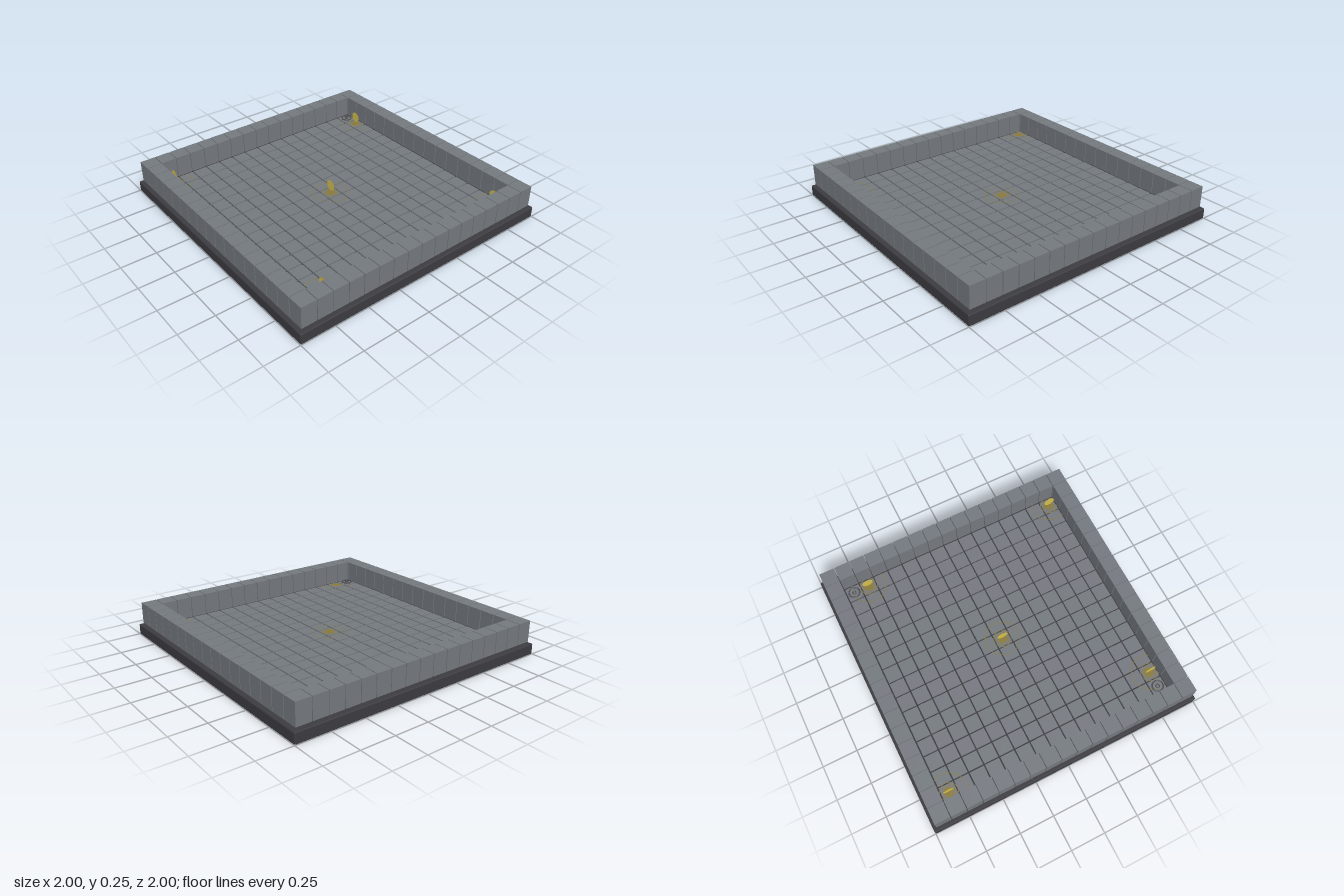
import * as THREE from 'three';
import { RoundedBoxGeometry } from 'three/addons/geometries/RoundedBoxGeometry.js';

const PITCH = 0.115, HALF = 8, FLOOR = 0.09;

const mat = (name, color) => {
  const m = new THREE.MeshStandardMaterial({ color });
  m.name = name;
  return m;
};

export function createModel() {
  const stone = mat('stone', 0x757a80);
  const slab = mat('slab', 0x3d3c41);
  const gold = mat('gold', 0xd6c04e);
  const oldGold = mat('old gold', 0x8a7a38);
  const iron = mat('iron', 0x505358);
  const model = new THREE.Group();
  model.name = 'dungeonRoom';

  const add = (parent, name, geo, material, x = 0, y = 0, z = 0) => {
    const mesh = new THREE.Mesh(geo, material);
    mesh.name = name;
    mesh.position.set(x, y, z);
    parent.add(mesh);
    return mesh;
  };

  // Base slab with softened edges
  add(model, 'base', new RoundedBoxGeometry(2, 0.078, 2, 1, 0.008), slab, 0, 0.039, 0);

  // Floor tiles, with a ring of wall blocks around them
  const tiles = new THREE.Group(), walls = new THREE.Group();
  tiles.name = 'floor';
  walls.name = 'walls';
  model.add(tiles, walls);
  const tileGeo = new THREE.BoxGeometry(0.105, 0.012, 0.105);
  const blockGeo = new THREE.BoxGeometry(0.11, 0.155, 0.11);
  for (let i = -HALF; i <= HALF; i++) {
    for (let j = -HALF; j <= HALF; j++) {
      const edge = Math.max(Math.abs(i), Math.abs(j)) === HALF;
      if (edge) add(walls, 'wallBlock', blockGeo, stone, i * PITCH, 0.1675, j * PITCH);
      else add(tiles, 'floorTile', tileGeo, stone, i * PITCH, 0.084, j * PITCH);
    }
  }

  // Flat circles lying on the floor
  const flat = (geo) => geo.rotateX(-Math.PI / 2);
  const outerRing = flat(new THREE.RingGeometry(0.123, 0.127, 48));
  const middleRing = flat(new THREE.RingGeometry(0.061, 0.065, 32));
  const innerRing = flat(new THREE.RingGeometry(0.047, 0.05, 32));
  const centre = flat(new THREE.CircleGeometry(0.036, 24));
  const token = new THREE.CircleGeometry(0.04, 24);

  // Gold markers: floor circles with a front-facing token above
  for (const [i, j] of [[0, 0], [-6, -7], [7, -7], [-7, 7], [7, 6]]) {
    const marker = new THREE.Group();
    marker.name = 'goldMarker';
    marker.position.set(i * PITCH, FLOOR, j * PITCH);
    model.add(marker);
    add(marker, 'outerRing', outerRing, oldGold, 0, 0.002, 0);
    add(marker, 'middleRing', middleRing, oldGold, 0, 0.002, 0);
    add(marker, 'innerRing', innerRing, oldGold, 0, 0.002, 0);
    add(marker, 'markerCentre', centre, oldGold, 0, 0.002, 0);
    add(marker, 'token', token, gold, 0, 0.06, 0);
  }

  // Iron rings in two opposite corners
  const hoop = flat(new THREE.TorusGeometry(0.039, 0.005, 6, 24));
  const smallHoop = flat(new THREE.TorusGeometry(0.012, 0.004, 6, 16));
  for (const s of [-1, 1]) {
    const fitting = new THREE.Group();
    fitting.name = 'ironFitting';
    fitting.position.set(s * 7 * PITCH, FLOOR + 0.008, s * 7 * PITCH);
    model.add(fitting);
    add(fitting, 'hoop', hoop, iron);
    add(fitting, 'smallHoop', smallHoop, iron);
  }
  return model;
}
